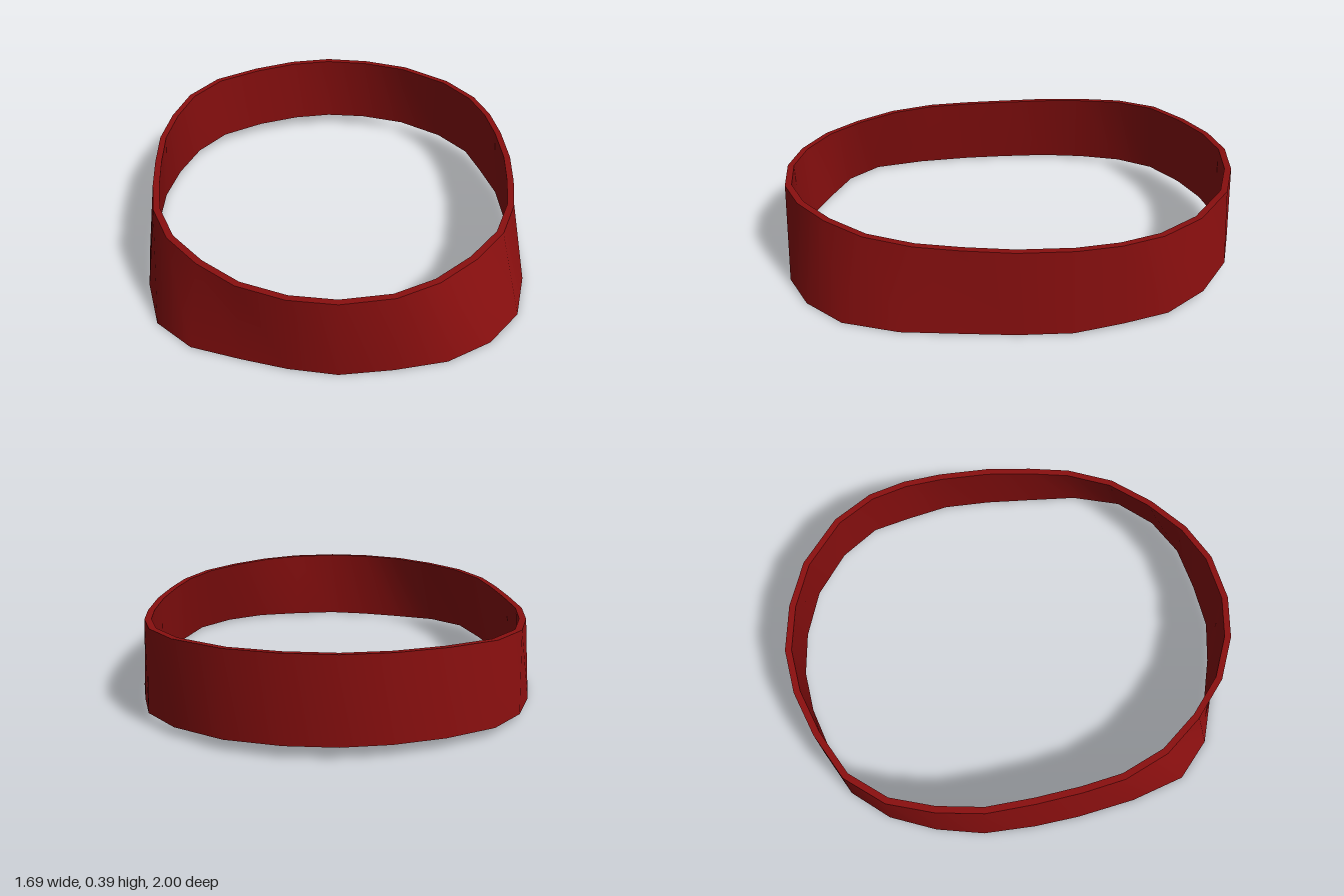
import * as THREE from 'three';

// Plan outlines as x, z pairs, running from the back round by the right side
const FOOT = [
  0, -1, -0.19, -0.975, -0.39, -0.91, -0.59, -0.8, -0.72, -0.64, -0.8, -0.44, -0.845, -0.23,
  -0.845, 0, -0.83, 0.2, -0.79, 0.46, -0.72, 0.7, -0.57, 0.84, -0.37, 0.91, -0.19, 0.965,
  0, 1, 0.21, 0.98, 0.42, 0.94, 0.6, 0.84, 0.74, 0.68, 0.81, 0.45, 0.83, 0.2,
  0.845, 0, 0.845, -0.22, 0.8, -0.42, 0.75, -0.6, 0.62, -0.77, 0.42, -0.91, 0.2, -0.98,
];
const RIM_INNER = [
  0, -0.957, -0.19, -0.93, -0.38, -0.86, -0.57, -0.755, -0.69, -0.6, -0.75, -0.41, -0.78, -0.21,
  -0.77, 0, -0.75, 0.2, -0.72, 0.38, -0.64, 0.57, -0.51, 0.73, -0.36, 0.86, -0.18, 0.94,
  0, 0.968, 0.2, 0.94, 0.36, 0.86, 0.51, 0.73, 0.64, 0.57, 0.72, 0.38, 0.755, 0.2,
  0.78, 0, 0.78, -0.22, 0.76, -0.39, 0.71, -0.55, 0.6, -0.71, 0.4, -0.86, 0.2, -0.93,
];
const THICK = 0.028;

const toPoints = (flat) =>
  Array.from({ length: flat.length / 2 }, (_, i) => new THREE.Vector2(flat[2 * i], flat[2 * i + 1]));

// Move an outline outwards (or inwards, if negative) along its corner normals
function offset(points, d) {
  const n = points.length;
  return points.map((p, i) => {
    const dir = points[(i + 1) % n].clone().sub(points[(i + n - 1) % n]).normalize();
    return new THREE.Vector2(p.x - dir.y * d, p.y + dir.x * d);
  });
}

// The band lifts gently towards the back
const lift = (z) => 0.05 * Math.pow(Math.max(0, (-z - 0.1) / 0.9), 1.4);
const ring = (points, y) => points.map((p) => new THREE.Vector3(p.x, y + lift(p.y), p.y));

// Closed smooth strip between two rings
function strip(a, b) {
  const n = a.length;
  const index = [];
  for (let i = 0; i < n; i++) {
    const j = (i + 1) % n;
    index.push(i, j, n + i, j, n + j, n + i);
  }
  const geo = new THREE.BufferGeometry().setFromPoints([...a, ...b]);
  geo.setIndex(index);
  geo.computeVertexNormals();
  return geo;
}

export function createModel() {
  const group = new THREE.Group();
  group.name = 'band';
  const material = new THREE.MeshStandardMaterial({ color: 0x8a0f0f });

  const foot = toPoints(FOOT);
  const rim = toPoints(RIM_INNER);
  const rings = [
    ring(foot, 0),
    ring(offset(rim, THICK), 0.34),
    ring(rim, 0.34),
    ring(offset(foot, -THICK), 0.003),
  ];

  // Separate strips keep the rim edges sharp
  ['outerWall', 'topRim', 'innerWall', 'bottomRim'].forEach((name, i) => {
    const mesh = new THREE.Mesh(strip(rings[i], rings[(i + 1) % 4]), material);
    mesh.name = name;
    group.add(mesh);
  });
  return group;
}
